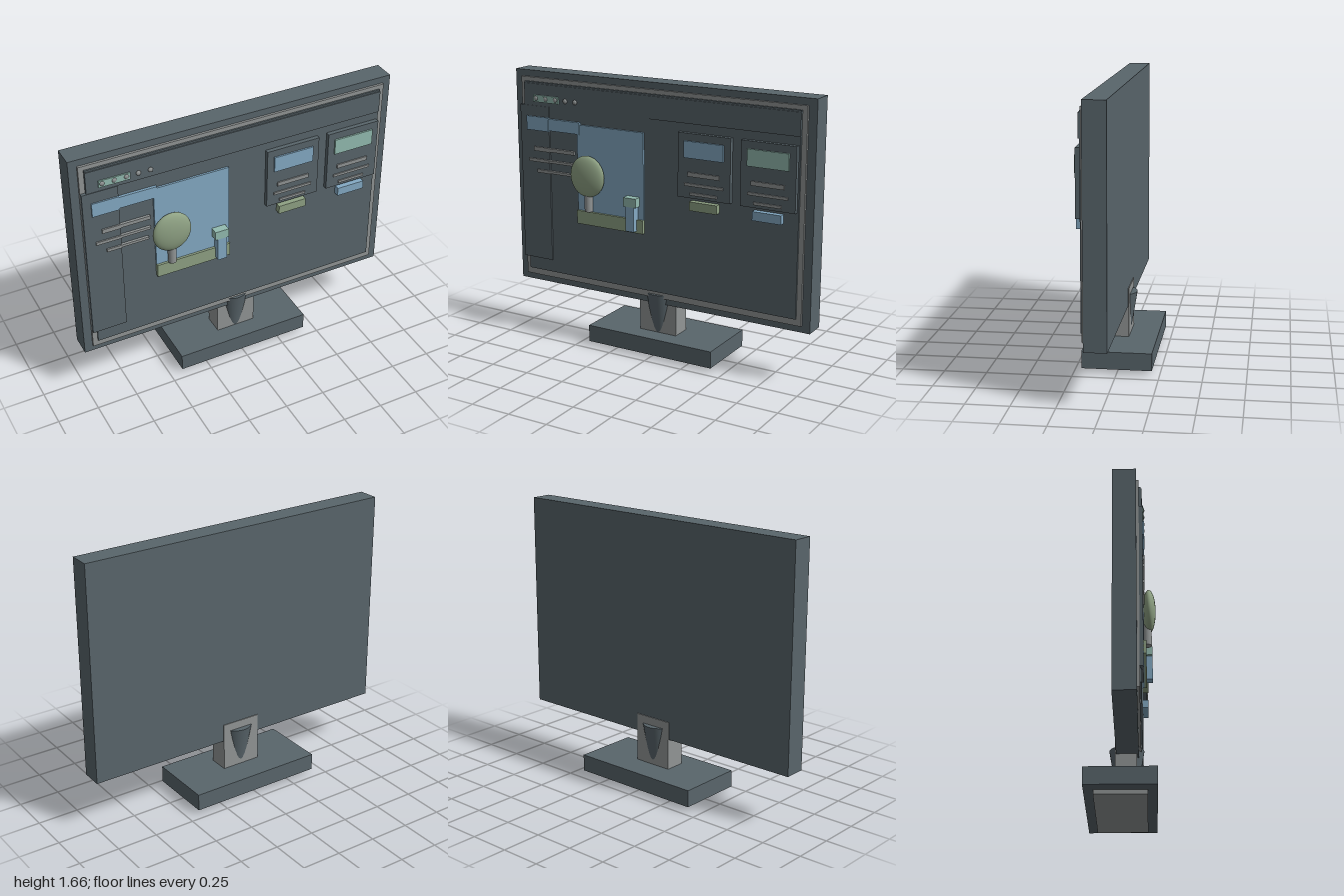
import * as THREE from 'three';

export function createModel() {
  const group = new THREE.Group();
  const mat = (name, color) => {
    const m = new THREE.MeshStandardMaterial({ color });
    m.name = name;
    return m;
  };
  const slate = mat('slate', 0x59656b);
  const grey = mat('grey', 0x919595);
  const blue = mat('blue', 0x84aac4);
  const olive = mat('olive', 0x8fa284);
  const mint = mat('mint', 0x93bbb0);

  const add = (name, geometry, material, x, y, z) => {
    const mesh = new THREE.Mesh(geometry, material);
    mesh.name = name;
    mesh.position.set(x, y, z);
    group.add(mesh);
    return mesh;
  };
  // Box given by its extents on each axis
  const box = (name, material, x0, x1, y0, y1, z0, z1) =>
    add(name, new THREE.BoxGeometry(x1 - x0, y1 - y0, z1 - z0), material,
      (x0 + x1) / 2, (y0 + y1) / 2, (z0 + z1) / 2);

  // Stand
  box('basePad', grey, -0.34, 0.34, 0, 0.026, -0.15, 0.15);
  box('base', slate, -0.425, 0.425, 0.026, 0.13, -0.205, 0.205);
  box('neck', grey, -0.125, 0.125, 0.13, 0.43, -0.035, 0.09);
  add('neckCone', new THREE.CylinderGeometry(0.102, 0.06, 0.25, 32), slate, 0, 0.255, 0.03);

  // Monitor body and screen layers
  box('body', slate, -1, 1, 0.32, 1.66, -0.03, 0.1);
  box('bezel', grey, -0.95, 0.95, 0.36, 1.62, 0.1, 0.114);
  box('screen', slate, -0.92, 0.92, 0.4, 1.595, 0.11, 0.124);
  box('headerBar', slate, -0.92, 0.92, 1.45, 1.585, 0.12, 0.131);
  box('sidebar', slate, -0.95, -0.74, 0.48, 1.45, 0.114, 0.134);

  // Header buttons
  box('buttonStrip', mint, -0.85, -0.665, 1.475, 1.517, 0.128, 0.139);
  for (let i = 0; i < 5; i++) {
    const dot = add('headerDot', new THREE.SphereGeometry(0.015, 16, 12), grey,
      -0.83 + i * 0.071, 1.497, 0.136);
    dot.scale.z = 0.6;
  }

  // Picture panel with ground
  box('picturePanel', blue, -0.535, -0.07, 0.755, 1.365, 0.12, 0.136);
  box('pictureGround', olive, -0.535, -0.07, 0.755, 0.838, 0.125, 0.15);

  // Sidebar banner and text bars, slimmer where they leave the sidebar
  const bar = (name, material, x0, x1, y, h) => {
    box(name, material, x0, -0.74, y - h / 2, y + h / 2, 0.13, 0.143);
    box(name + 'End', material, -0.74, x1, y - h * 0.42, y + h * 0.42, 0.12, 0.14);
  };
  bar('banner', blue, -0.9, -0.515, 1.342, 0.086);
  bar('sidebarLine', grey, -0.85, -0.56, 1.184, 0.026);
  bar('sidebarLine', grey, -0.89, -0.56, 1.112, 0.019);
  bar('sidebarLine', grey, -0.83, -0.575, 1.046, 0.019);

  // Tree
  add('treeTrunk', new THREE.CylinderGeometry(0.025, 0.025, 0.14, 20), grey, -0.445, 0.915, 0.155);
  add('treeCrown', new THREE.SphereGeometry(1, 32, 20), olive, -0.445, 1.063, 0.165)
    .scale.set(0.118, 0.127, 0.039);

  // Post with cap
  box('post', blue, -0.166, -0.109, 0.77, 0.92, 0.13, 0.185);
  box('postCap', mint, -0.181, -0.096, 0.92, 0.975, 0.13, 0.185);

  // Two cards
  [[0.339, blue, olive], [0.741, mint, blue]].forEach(([x, picture, button]) => {
    const centred = (name, material, w, y0, y1, z0, z1) =>
      box(name, material, x - w / 2, x + w / 2, y0, y1, z0, z1);
    centred('card', slate, 0.338, 1.022, 1.4, 0.12, 0.15);
    centred('cardPicture', picture, 0.254, 1.258, 1.356, 0.145, 0.16);
    centred('cardTitle', grey, 0.204, 1.15, 1.175, 0.145, 0.158);
    centred('cardLine', grey, 0.248, 1.093, 1.109, 0.145, 0.157);
    centred('cardLine', grey, 0.172, 1.04, 1.056, 0.145, 0.157);
    centred('cardButton', button, 0.178, 0.95, 1.003, 0.12, 0.16);
  });

  return group;
}
